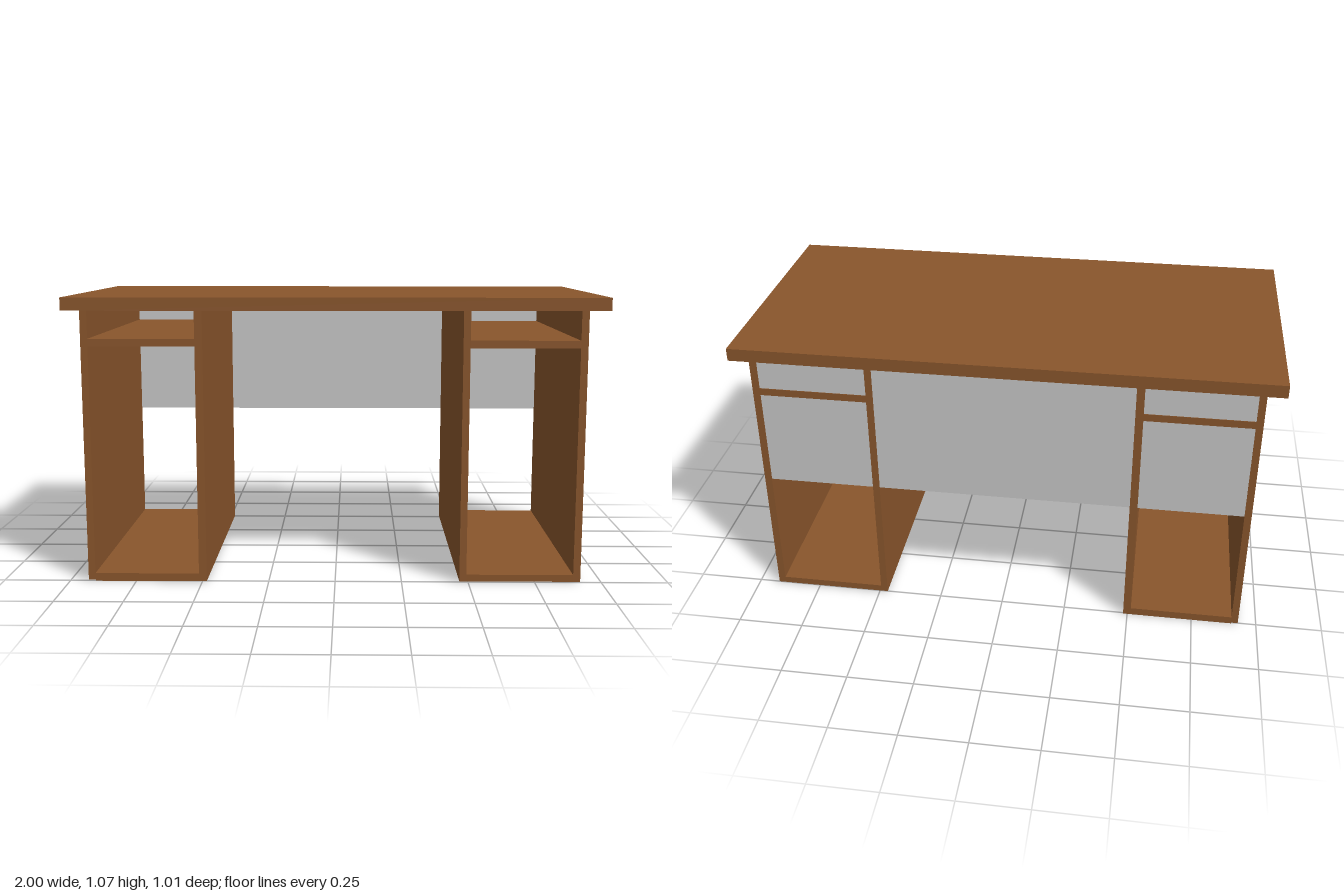
import * as THREE from 'three';

const DEPTH = 1.01;

export function createModel() {
  const desk = new THREE.Group();
  desk.name = 'desk';

  const wood = new THREE.MeshStandardMaterial({ color: 0x8a562c });
  wood.name = 'brown wood';
  const grey = new THREE.MeshStandardMaterial({ color: 0xc8c8c8, side: THREE.DoubleSide });
  grey.name = 'light grey panel';

  // Full-depth board given by its extents in x and y
  const board = (parent, name, x0, x1, y0, y1) => {
    const mesh = new THREE.Mesh(new THREE.BoxGeometry(x1 - x0, y1 - y0, DEPTH), wood);
    mesh.position.set((x0 + x1) / 2, (y0 + y1) / 2, 0);
    mesh.name = name;
    parent.add(mesh);
  };

  // Table top
  board(desk, 'tableTop', -1, 1, 1.017, 1.065);

  // Open pedestals: two sides, a bottom and a high shelf each
  const pedestals = [
    { name: 'rightPedestal', x: [-0.93, -0.904, -0.513, -0.484], base: 0, shelf: 0.887 },
    { name: 'leftPedestal', x: [0.467, 0.493, 0.893, 0.92], base: 0.004, shelf: 0.882 },
  ];
  for (const { name, x, base, shelf } of pedestals) {
    const pedestal = new THREE.Group();
    pedestal.name = name;
    board(pedestal, 'sidePanelA', x[0], x[1], 0.004, 1.017);
    board(pedestal, 'sidePanelB', x[2], x[3], 0.004, 1.017);
    board(pedestal, 'bottomPanel', x[1], base === 0 ? x[3] : x[2], base, 0.03);
    board(pedestal, 'shelf', x[1], x[2], shelf, shelf + 0.028);
    desk.add(pedestal);
  }

  // Thin modesty panel, just inside the back edge
  const bottom = 0.51;
  const top = 1.017;
  const modesty = new THREE.Mesh(new THREE.PlaneGeometry(0.893 + 0.904, top - bottom), grey);
  modesty.name = 'modestyPanel';
  modesty.position.set((0.893 - 0.904) / 2, (top + bottom) / 2, -DEPTH / 2 + 0.002);
  desk.add(modesty);

  return desk;
}
